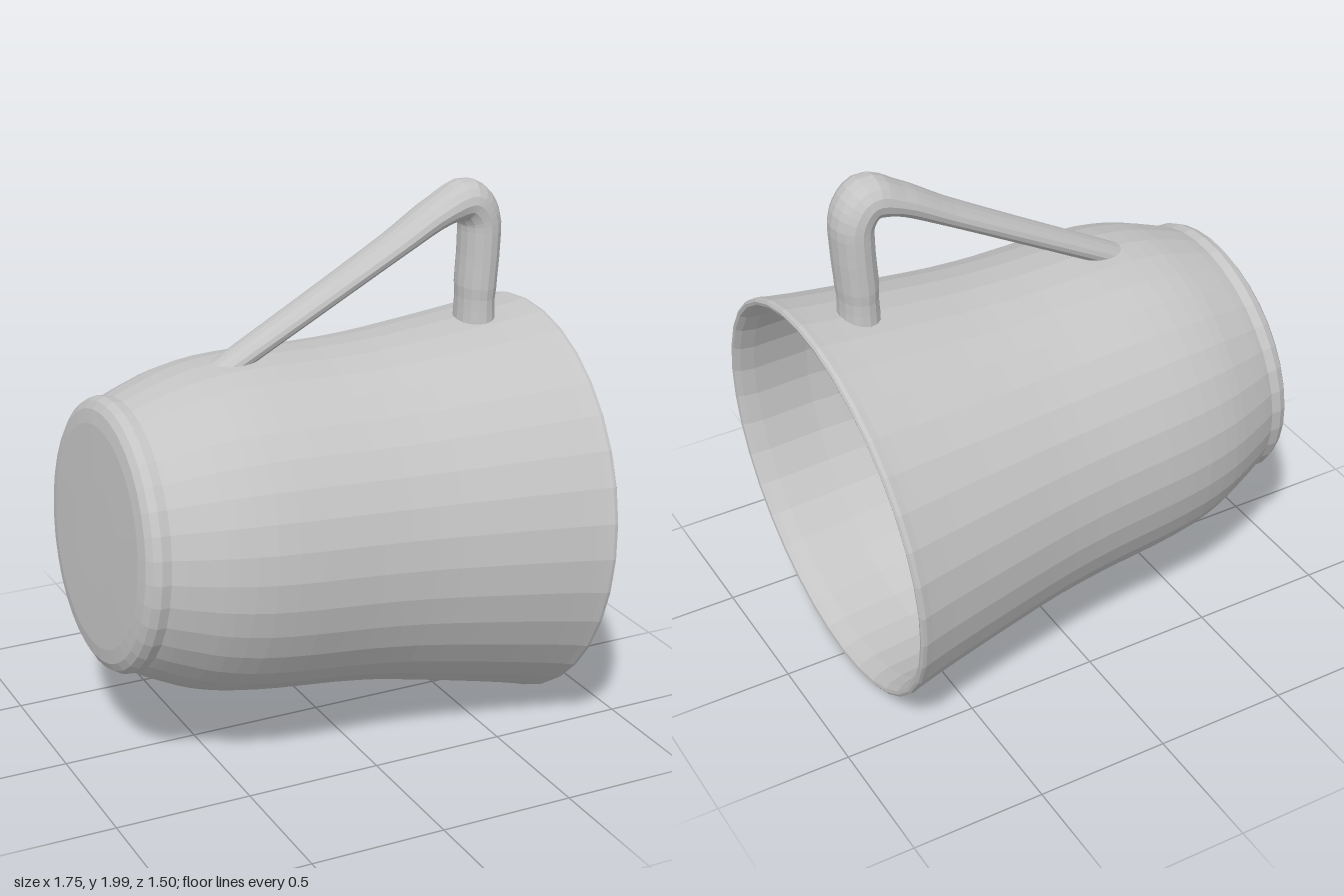
import * as THREE from 'three';

const ceramic = new THREE.MeshStandardMaterial({ color: 0xc4c4c4, flatShading: true, side: THREE.DoubleSide });
ceramic.name = 'grey ceramic';

// Sweeps an ellipse along the handle; each row is x, y, z, half thickness, half width
function sweepEllipse(rows, steps, sides) {
  const path = new THREE.CatmullRomCurve3(rows.map(([x, y, z]) => new THREE.Vector3(x, y, z)));
  const sizes = new THREE.CatmullRomCurve3(rows.map((r) => new THREE.Vector3(r[3], r[4], 0)));
  const positions = [];
  const index = [];
  for (let i = 0; i <= steps; i++) {
    const t = i / steps;
    const centre = path.getPoint(t);
    const tangent = path.getTangent(t);
    const size = sizes.getPoint(t);
    const normal = new THREE.Vector3(tangent.y, -tangent.x, 0).normalize();
    for (let j = 0; j < sides; j++) {
      const a = (j / sides) * Math.PI * 2;
      const p = centre.clone().addScaledVector(normal, Math.cos(a) * size.x);
      positions.push(p.x, p.y, p.z + Math.sin(a) * size.y);
      if (i === steps) continue;
      const k = i * sides + j;
      const n = i * sides + ((j + 1) % sides);
      index.push(k, k + sides, n, n, k + sides, n + sides);
    }
  }
  // Winding runs outward for this normal direction
  for (let i = 0; i < index.length; i += 3) [index[i + 1], index[i + 2]] = [index[i + 2], index[i + 1]];
  const geometry = new THREE.BufferGeometry();
  geometry.setAttribute('position', new THREE.Float32BufferAttribute(positions, 3));
  geometry.setIndex(index);
  geometry.computeVertexNormals();
  return geometry;
}

export function createModel() {
  const model = new THREE.Group();
  model.name = 'mug';

  // Thin-walled cup lying on its side, mouth tipped slightly down
  const cup = new THREE.Group();
  cup.name = 'cup';
  cup.position.set(-0.857, 0.872, -0.005);
  cup.rotation.z = -(Math.PI / 2 + 0.0665);
  model.add(cup);

  const v = (r, s) => new THREE.Vector2(r, s);
  const wall = new THREE.SplineCurve([
    v(0.488, 0.09), v(0.51, 0.135), v(0.545, 0.22), v(0.574, 0.3), v(0.602, 0.43), v(0.617, 0.6),
    v(0.626, 0.82), v(0.643, 1.02), v(0.669, 1.2), v(0.701, 1.4), v(0.727, 1.55), v(0.745, 1.64),
  ]).getPoints(22);
  const foot = [v(0, 0), v(0.2, 0), v(0.4, 0.003), v(0.45, 0.011), v(0.477, 0.028), v(0.491, 0.055)];
  const body = new THREE.Mesh(new THREE.LatheGeometry([...foot, ...wall], 36), ceramic);
  body.name = 'body';
  cup.add(body);

  // Rounded lip turned over into the mouth
  const lipProfile = [
    v(0.745, 1.64), v(0.752, 1.665), v(0.75, 1.678), v(0.741, 1.684),
    v(0.729, 1.681), v(0.716, 1.66), v(0.705, 1.61), v(0.699, 1.4),
  ];
  const lip = new THREE.Mesh(new THREE.LatheGeometry(lipProfile, 36), ceramic);
  lip.name = 'lip';
  cup.add(lip);

  // Tapering handle: upright near the mouth, long slope towards the foot
  const handle = new THREE.Mesh(sweepEllipse([
    [0.635, 1.435, 0.01, 0.072, 0.095],
    [0.638, 1.6, 0.01, 0.072, 0.095],
    [0.647, 1.75, 0.01, 0.073, 0.096],
    [0.642, 1.86, 0.01, 0.076, 0.096],
    [0.592, 1.919, 0.01, 0.079, 0.095],
    [0.49, 1.892, 0.008, 0.058, 0.09],
    [0.3, 1.785, 0.006, 0.045, 0.083],
    [0, 1.617, 0.002, 0.042, 0.074],
    [-0.3, 1.45, -0.002, 0.041, 0.067],
    [-0.38, 1.405, -0.002, 0.041, 0.066],
  ], 36, 16), ceramic);
  handle.name = 'handle';
  model.add(handle);

  return model;
}
